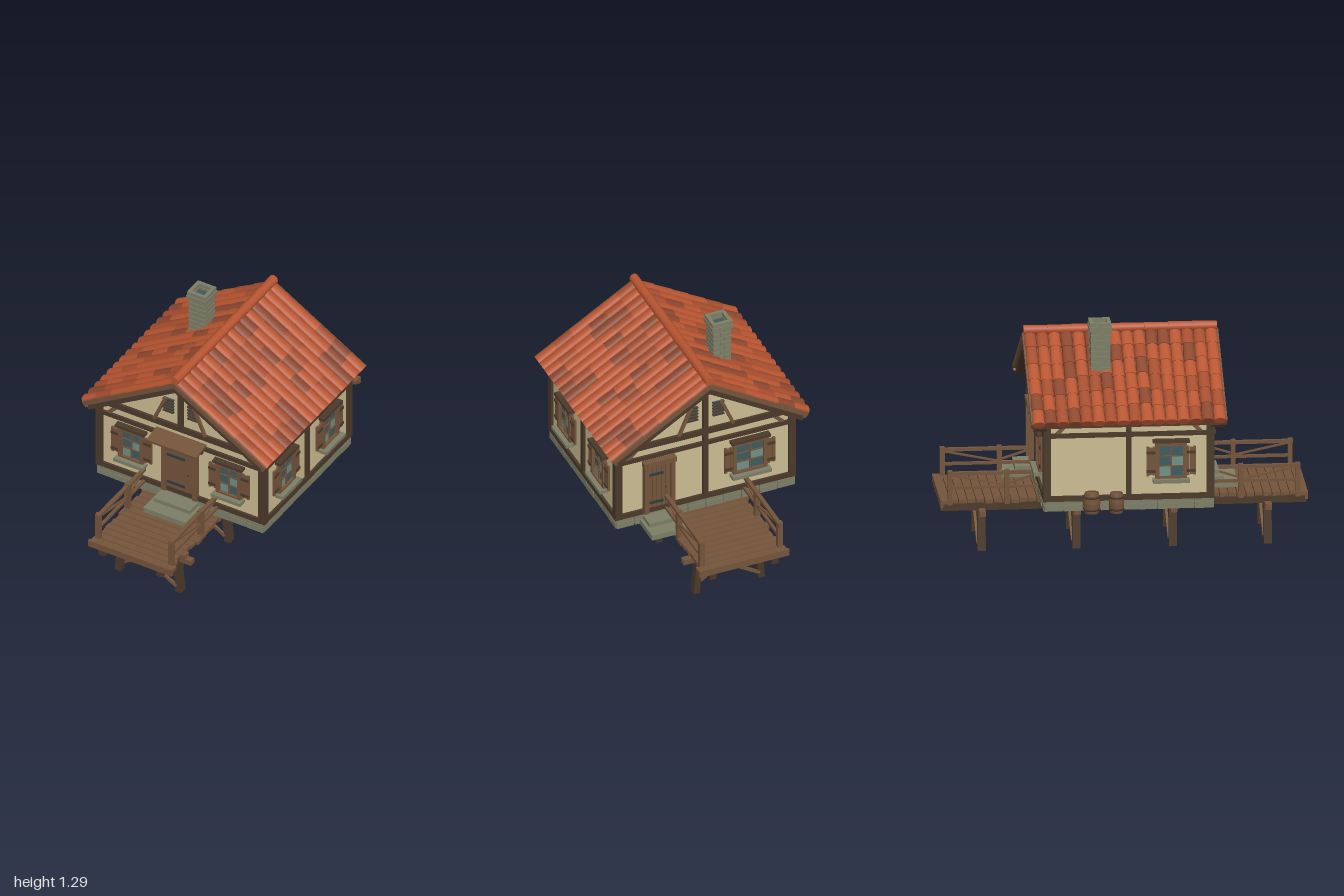
import * as THREE from 'three';

const mat = (name, color) => Object.assign(new THREE.MeshStandardMaterial({ color }), { name });
const M = {
  plaster: mat('plaster', 0xcbbc92), dark: mat('darkTimber', 0x4b392b), wood: mat('wood', 0x74543b),
  stone: mat('stone', 0x7d7e66), glass: mat('glass', 0x3d5b5e), pale: mat('paleGlass', 0x6f9085),
  iron: mat('iron', 0x2b3c40), tileA: mat('tileOrange', 0xb85531), tileB: mat('tileBrown', 0x8c472f),
  tileC: mat('tileRust', 0xa64d2e),
};
const CX = 0.015, HW = 0.517, HZ = 0.45, SLOPE = 0.545;   // house centre, half width, half depth, roof pitch

let seed = 7;
const rnd = () => (seed = (seed * 16807) % 2147483647) / 2147483647;

function add(parent, name, material, geometry, x = 0, y = 0, z = 0) {
  const m = new THREE.Mesh(geometry, material);
  m.name = name;
  m.position.set(x, y, z);
  parent.add(m);
  return m;
}
const box = (p, name, m, w, h, d, x, y, z) => add(p, name, m, new THREE.BoxGeometry(w, h, d), x, y, z);
// box given by its limits
const span = (p, name, m, x0, x1, y0, y1, z0, z1) =>
  box(p, name, m, x1 - x0, y1 - y0, z1 - z0, (x0 + x1) / 2, (y0 + y1) / 2, (z0 + z1) / 2);
// square timber running between two points
function beam(p, name, m, a, b, w, d) {
  const A = new THREE.Vector3(...a), B = new THREE.Vector3(...b), dir = B.clone().sub(A);
  const mesh = box(p, name, m, w, dir.length(), d, ...A.clone().add(B).multiplyScalar(0.5).toArray());
  mesh.quaternion.setFromUnitVectors(new THREE.Vector3(0, 1, 0), dir.normalize());
  return mesh;
}
function group(p, name, x = 0, y = 0, z = 0, ry = 0) {
  const g = new THREE.Group();
  g.name = name;
  g.position.set(x, y, z);
  g.rotation.y = ry;
  p.add(g);
  return g;
}

// window on a wall whose outside is local +z
function addWindow(wall, x, w = 0.115) {
  const g = group(wall, 'window', x, 0.58, 0), h = 0.17, f = 0.02;
  for (let c = 0; c < 2; c++) for (let r = 0; r < 3; r++)
    box(g, 'pane', (c * 2 + r) % 3 === 0 ? M.pale : M.glass, w / 2, h / 3, 0.008, (c - 0.5) * w / 2, (r - 1) * h / 3, 0.004);
  for (const s of [-1, 1]) {
    box(g, 'frameSide', M.wood, f, h + 2 * f, 0.024, s * (w + f) / 2, 0, 0.012);
    box(g, 'frameRail', M.wood, w, f, 0.024, 0, s * (h + f) / 2, 0.012);
    box(g, 'glazingBar', M.wood, w, 0.006, 0.014, 0, s * h / 6, 0.007);
    const sh = group(g, 'shutter', s * (w / 2 + 0.045), 0, 0);
    [0.165, 0.15, 0.16].forEach((l, i) => box(sh, 'shutterPlank', M.wood, 0.015, l, 0.012, (i - 1) * 0.0165, 0, 0.01));
    for (const y of [-0.055, 0.05]) box(sh, 'shutterBatten', M.dark, 0.046, 0.015, 0.008, 0, y, 0.019);
  }
  box(g, 'glazingPost', M.wood, 0.008, h, 0.016, 0, 0, 0.008);
  box(g, 'lintel', M.dark, w + 0.07, 0.017, 0.036, 0, 0.115, 0.018);
  box(g, 'sill', M.stone, w + 0.07, 0.02, 0.052, 0, -0.106, 0.026);
}

// plank door with hinges
function addDoor(wall, x, w) {
  const g = group(wall, 'door', x, 0, 0), n = 5;
  box(g, 'doorBack', M.dark, w, 0.31, 0.006, 0, 0.53, 0.003);
  for (let i = 0; i < n; i++)
    box(g, 'doorPlank', M.wood, w / n - 0.003, 0.31, 0.012, (i - (n - 1) / 2) * w / n, 0.53, 0.006);
  for (const s of [-1, 1]) box(g, 'doorPost', M.wood, 0.026, 0.32, 0.03, s * (w / 2 + 0.013), 0.53, 0.015);
  box(g, 'doorHead', M.wood, w + 0.062, 0.03, 0.036, 0, 0.695, 0.018);
  for (const y of [0.43, 0.615]) box(g, 'hinge', M.iron, w * 0.66, 0.013, 0.008, -w * 0.15, y, 0.016);
  add(g, 'handle', M.iron, new THREE.SphereGeometry(0.006, 8, 6), w * 0.3, 0.515, 0.016);
  box(g, 'upperStep', M.stone, w + 0.06, 0.025, 0.11, 0, 0.348, 0.05);
  box(g, 'lowerStep', M.stone, w + 0.095, 0.032, 0.18, 0, 0.32, 0.09);
}

// sill, tie beam and corner braces for a wall of half width hw
function addFraming(wall, hw) {
  span(wall, 'groundBeam', M.dark, -hw, hw, 0.365, 0.395, -0.01, 0.014);
  span(wall, 'middleBeam', M.dark, -hw, hw, 0.722, 0.747, -0.01, 0.014);
  span(wall, 'topBeam', M.dark, -hw, hw, 0.795, 0.83, -0.01, 0.016);
  for (const s of [-1, 1])
    beam(wall, 'cornerBrace', M.wood, [s * (hw - 0.055), 0.74, 0.004], [s * (hw - 0.115), 0.8, 0.004], 0.02, 0.014);
}

// gable timbers and louvred vents
function addGable(wall) {
  span(wall, 'kingPost', M.dark, -0.015, 0.015, 0.83, 1.14, -0.01, 0.016);
  for (const s of [-1, 1]) {
    box(wall, 'ventBack', M.glass, 0.062, 0.09, 0.008, s * 0.077, 0.945, 0.004);
    for (let i = 0; i < 5; i++) box(wall, 'ventSlat', M.dark, 0.066, 0.008, 0.016, s * 0.077, 0.905 + i * 0.02, 0.008);
    beam(wall, 'gableStrut', M.wood, [s * 0.16, 0.83, 0.018], [s * 0.088, 1.0, 0.018], 0.018, 0.014);
  }
}

function addHouse(root) {
  // plaster body with gables
  const s = new THREE.Shape([[-HW, 0.365], [HW, 0.365], [HW, 0.82], [0, 1.13], [-HW, 0.82]].map(p => new THREE.Vector2(...p)));
  add(root, 'walls', M.plaster, new THREE.ExtrudeGeometry(s, { depth: 2 * HZ, bevelEnabled: false }), CX, 0, -HZ);
  const front = group(root, 'frontWall', CX, 0, HZ), back = group(root, 'backWall', CX, 0, -HZ, Math.PI);
  const left = group(root, 'leftWall', CX + HW, 0, 0, Math.PI / 2), right = group(root, 'rightWall', CX - HW, 0, 0, -Math.PI / 2);
  for (const w of [front, back]) { addFraming(w, HW); addGable(w); }
  for (const w of [left, right]) {
    addFraming(w, HZ);
    span(w, 'middlePost', M.dark, -0.015, 0.015, 0.39, 0.8, -0.01, 0.015);
  }
  span(back, 'middlePost', M.dark, -0.015, 0.015, 0.39, 0.8, -0.01, 0.015);
  for (const sx of [-1, 1]) for (const sz of [-1, 1])
    box(root, 'cornerPost', M.dark, 0.042, 0.45, 0.042, CX + sx * 0.511, 0.59, sz * 0.444);

  addWindow(front, -0.307); addWindow(front, 0.307);
  addWindow(left, -0.23, 0.13); addWindow(left, 0.23, 0.13);
  addWindow(right, 0.23, 0.13);
  addWindow(back, 0.26, 0.16);
  addDoor(front, 0, 0.17);
  addDoor(back, -0.275, 0.13);

  // canopy over the front door
  const c = group(front, 'canopy');
  beam(c, 'canopyRoof', M.wood, [0, 0.757, 0], [0, 0.737, 0.108], 0.315, 0.014);
  for (const sx of [-1, 1]) {
    span(c, 'canopyBracket', M.dark, sx * 0.131 - 0.008, sx * 0.131 + 0.008, 0.695, 0.745, 0, 0.018);
    beam(c, 'canopyBrace', M.dark, [sx * 0.131, 0.7, 0.01], [sx * 0.131, 0.738, 0.075], 0.014, 0.012);
  }

  // stone footing in two courses
  span(root, 'footingCore', M.stone, CX - 0.515, CX + 0.515, 0.31, 0.365, -0.455, 0.455);
  for (let row = 0; row < 2; row++) {
    const y = row ? 0.355 : 0.327, h = row ? 0.018 : 0.034;
    for (const sd of [-1, 1]) {
      for (let i = 0; i < 10; i++) box(root, 'footingStone', M.stone, 0.1, h, 0.02, CX + (i - 4.5) * 0.105, y, sd * (0.453 + rnd() * 0.004));
      for (let i = 0; i < 9; i++) box(root, 'footingStone', M.stone, 0.02, h, 0.097, CX + sd * (0.515 + rnd() * 0.004), y, (i - 4) * 0.102);
    }
  }
}

function addRoof(root) {
  const roof = group(root, 'roof', CX, 1.165, 0), L = 0.675, cols = 16, rows = 6;
  for (const ry of [0, Math.PI]) {
    const slope = group(group(roof, 'roofSide', 0, 0, 0, ry), 'roofSlope');
    slope.rotation.z = -SLOPE;                        // local x runs down the slope
    span(slope, 'roofBoards', M.wood, 0, L, -0.02, 0, -0.525, 0.525);
    span(slope, 'eaveBoard', M.wood, L - 0.015, L, -0.034, 0.004, -0.53, 0.53);
    for (const s of [-1, 1]) {
      box(slope, 'vergeBoard', M.wood, L, 0.026, 0.014, L / 2, -0.009, s * 0.526);
      box(slope, 'gableRafter', M.dark, L - 0.008, 0.038, 0.07, L / 2, -0.038, s * 0.484);
    }
    for (let i = 0; i < 9; i++) box(slope, 'rafterTail', M.dark, 0.14, 0.028, 0.024, L - 0.09, -0.033, (i - 4) * 0.105);
    // barrel tiles, thicker at the lower end
    const pitch = 1.05 / cols, len = L / rows;
    const tile = new THREE.CylinderGeometry(0.029, 0.035, len + 0.02, 10).rotateZ(Math.PI / 2).scale(1, 0.62, 1);
    for (let i = 0; i < cols; i++) {
      const shift = (rnd() - 0.5) * 0.04;
      for (let r = 0; r < rows; r++) {
        const k = rnd(), m = k < 0.62 ? M.tileA : k < 0.84 ? M.tileC : M.tileB;
        const u = (r + 0.5) * len + (r > 0 && r < rows - 1 ? shift : 0) - 0.007;
        add(slope, 'roofTile', m, tile, u, 0.002, (i - (cols - 1) / 2) * pitch);
      }
    }
  }
  for (let i = 0; i < 8; i++)
    add(roof, 'ridgeTile', M.tileA, new THREE.CylinderGeometry(0.025, 0.028, 0.134, 12).rotateX(Math.PI / 2), 0, 0.018, (i - 3.5) * 0.131);

  // chimney of stone courses with an open cap
  const ch = group(root, 'chimney', -0.203, 0, -0.13);
  span(ch, 'chimneyCore', M.stone, -0.046, 0.046, 0.9, 1.25, -0.046, 0.046);
  for (let i = 0; i < 11; i++) {
    const y = 0.937 + i * 0.03, o = i % 2 ? 0.012 : -0.012;
    for (const s of [-1, 1]) {
      span(ch, 'chimneyStone', M.stone, -0.052, o - 0.002, y - 0.013, y + 0.013, s * 0.046 - 0.007, s * 0.046 + 0.007);
      span(ch, 'chimneyStone', M.stone, o + 0.002, 0.052, y - 0.013, y + 0.013, s * 0.046 - 0.007, s * 0.046 + 0.007);
      box(ch, 'chimneyStone', M.stone, 0.014, 0.026, 0.08, s * 0.046, y, 0);
    }
  }
  box(ch, 'flue', M.glass, 0.078, 0.006, 0.078, 0, 1.252, 0);
  for (const s of [-1, 1]) {
    box(ch, 'capStone', M.stone, 0.124, 0.022, 0.026, 0, 1.257, s * 0.049);
    box(ch, 'capStone', M.stone, 0.026, 0.022, 0.072, s * 0.049, 1.257, 0);
    box(ch, 'capTop', M.stone, 0.116, 0.022, 0.02, 0, 1.28, s * 0.048);
    box(ch, 'capTop', M.stone, 0.02, 0.022, 0.076, s * 0.048, 1.28, 0);
  }
}

function addDeck(root) {
  const deck = group(root, 'deck', 0.017, 0, 0), n = 42;
  for (let i = 0; i < n; i++) {
    const end = i === 0 || i === n - 1;
    box(deck, 'deckPlank', M.wood, end ? 0.52 : 0.47 + rnd() * 0.035, 0.022, 0.043, (rnd() - 0.5) * 0.012, 0.294, (i - (n - 1) / 2) * 0.0473);
  }
  for (const s of [-1, 1]) {
    box(deck, 'deckRim', M.wood, 0.53, 0.04, 0.016, 0, 0.286, s * 0.991);
    box(deck, 'joist', M.dark, 0.038, 0.053, 1.99, s * 0.182, 0.257, 0);
  }
  // trestles
  for (const z of [-0.77, -0.255, 0.27, 0.785]) {
    const t = group(deck, 'trestle', 0, 0, z);
    box(t, 'crossBeam', M.wood, 0.535, 0.031, 0.036, 0, 0.226, 0);
    for (const s of [-1, 1]) {
      beam(t, 'leg', M.dark, [s * 0.192, 0.002, 0], [s * 0.174, 0.215, 0], 0.036, 0.044);
      beam(t, 'crossBrace', M.wood, [s * 0.178, 0.04, s * 0.02], [s * -0.115, 0.218, s * 0.02], 0.017, 0.014);
    }
  }
  // railings at both ends
  for (const sz of [-1, 1]) for (const sx of [-1, 1]) {
    const r = group(deck, 'railing', sx * 0.23, 0, 0);
    for (const z of [0.945, 0.635]) box(r, 'railPost', M.wood, 0.03, 0.19, 0.026, 0, 0.37, sz * z);
    box(r, 'topRail', M.wood, 0.022, 0.018, 0.5, 0, 0.45, sz * 0.71);
    box(r, 'lowerRail', M.wood, 0.016, 0.015, 0.49, 0, 0.37, sz * 0.705);
    beam(r, 'railBrace', M.wood, [0, 0.44, sz * 0.935], [0, 0.38, sz * 0.645], 0.012, 0.01);
    beam(r, 'railBrace', M.wood, [0, 0.39, sz * 0.625], [0, 0.44, sz * 0.47], 0.012, 0.01);
  }
}

function addBarrel(root, z, r, h) {
  const b = group(root, 'barrel', -0.553, 0.31, z);
  const profile = [[0, 0], [0.82, 0], [0.95, 0.25], [1, 0.5], [0.95, 0.75], [0.82, 1], [0.72, 1], [0.72, 0.94], [0, 0.94]];
  const g = new THREE.LatheGeometry(profile.map(([x, y]) => new THREE.Vector2(x * r, y * h)), 14).toNonIndexed();
  g.computeVertexNormals();
  add(b, 'barrelBody', M.wood, g);
  for (const t of [0.2, 0.8])
    add(b, 'barrelHoop', M.dark, new THREE.TorusGeometry(r * 0.93, 0.004, 5, 14).rotateX(Math.PI / 2).scale(1, 1.6, 1), 0, h * t, 0);
}

export function createModel() {
  const root = new THREE.Group();
  root.name = 'stiltCottage';
  addHouse(root);
  addRoof(root);
  addDeck(root);
  addBarrel(root, -0.205, 0.047, 0.115);
  addBarrel(root, -0.07, 0.042, 0.11);
  return root;
}
